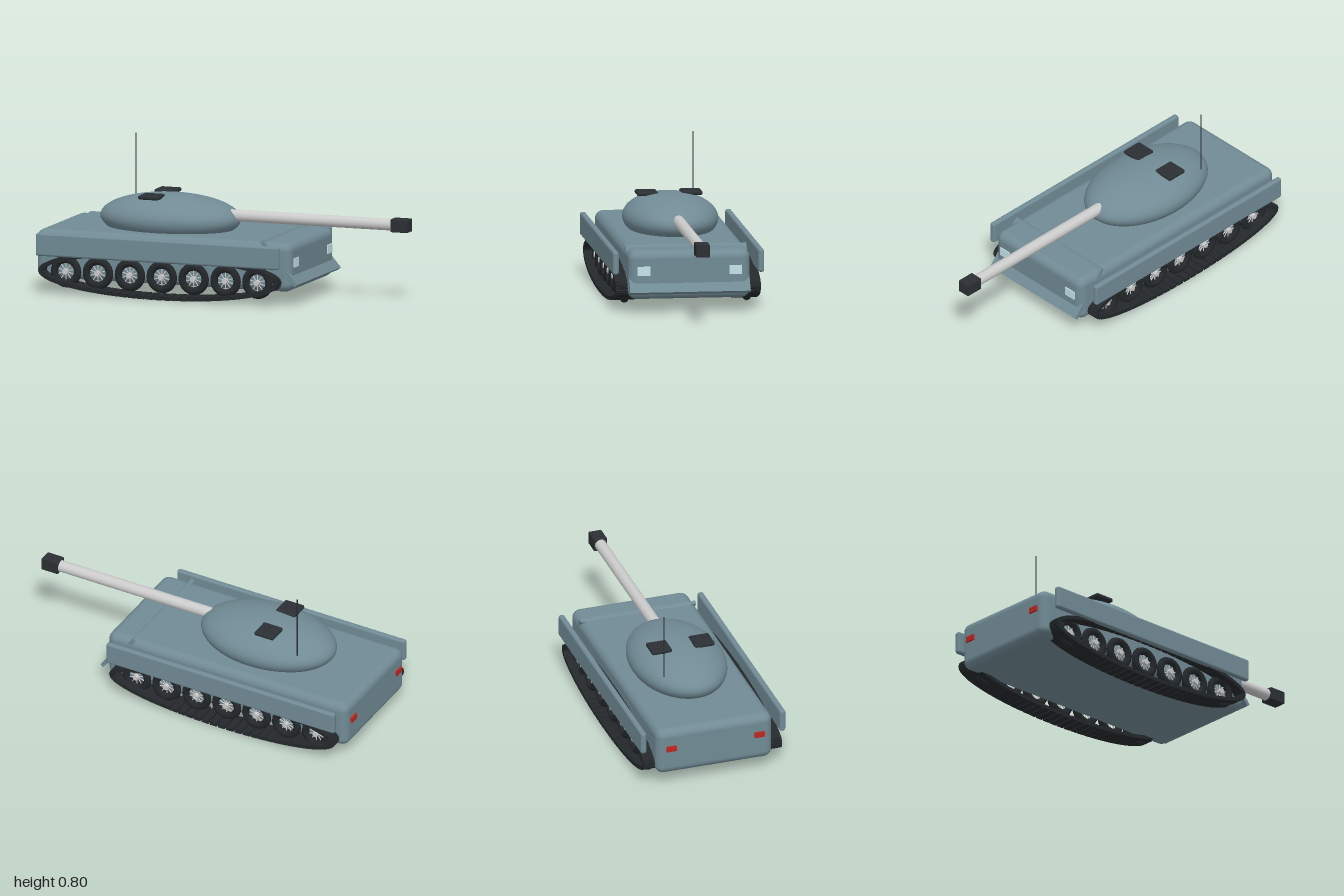
import * as THREE from 'three';
import { RoundedBoxGeometry } from 'three/addons/geometries/RoundedBoxGeometry.js';

const paint = new THREE.MeshStandardMaterial({ color: 0x718b95 });
const dark = new THREE.MeshStandardMaterial({ color: 0x2b3034 });
const rubber = new THREE.MeshStandardMaterial({ color: 0x24282b });
const grey = new THREE.MeshStandardMaterial({ color: 0xcccccc });
const lamp = new THREE.MeshStandardMaterial({ color: 0xc4e4ea });
const red = new THREE.MeshStandardMaterial({ color: 0xc02620 });

function add(parent, name, geometry, material, x = 0, y = 0, z = 0) {
  const mesh = new THREE.Mesh(geometry, material);
  mesh.name = name;
  mesh.position.set(x, y, z);
  parent.add(mesh);
  return mesh;
}

const rounded = (w, h, d, r) => new RoundedBoxGeometry(w, h, d, 4, r);

// Spoked road wheel with its axle along z
function makeWheel() {
  const wheel = new THREE.Group();
  wheel.name = 'roadWheel';
  add(wheel, 'tyre', new THREE.TorusGeometry(0.065, 0.021, 8, 28), rubber);
  const hub = add(wheel, 'hub', new THREE.CylinderGeometry(0.015, 0.015, 0.04, 14), grey);
  hub.rotation.x = Math.PI / 2;
  const spoke = new THREE.CylinderGeometry(0.003, 0.003, 0.11, 6);
  for (let i = 0; i < 5; i++) {
    add(wheel, 'spoke', spoke, grey).rotation.z = (i * Math.PI) / 5;
  }
  return wheel;
}

// Wheels and an elliptical loop of track links
function makeRunningGear(side) {
  const gear = new THREE.Group();
  gear.name = side > 0 ? 'leftRunningGear' : 'rightRunningGear';
  gear.position.z = side * 0.325;
  for (let i = 0; i < 7; i++) {
    const wheel = makeWheel();
    wheel.position.set(-0.815 + i * 0.18, 0.115, 0);
    gear.add(wheel);
  }
  const link = new THREE.BoxGeometry(0.04, 0.02, 0.12);
  const count = 84, rx = 0.66, ry = 0.112;
  for (let i = 0; i < count; i++) {
    const a = (i / count) * Math.PI * 2;
    const mesh = add(gear, 'trackLink', link, rubber,
      -0.275 + rx * Math.cos(a), 0.122 + ry * Math.sin(a), 0);
    mesh.rotation.z = Math.atan2(ry * Math.cos(a), -rx * Math.sin(a));
  }
  return gear;
}

export function createModel() {
  const tank = new THREE.Group();
  tank.name = 'tank';

  // Hull with a sloping front plate
  add(tank, 'hull', rounded(1.44, 0.26, 0.645, 0.045), paint, -0.27, 0.2, 0);
  add(tank, 'frontPlate', new THREE.BoxGeometry(0.3, 0.02, 0.64), paint, 0.382, 0.222, 0)
    .rotation.z = -0.86;

  // Paired side parts
  for (const side of [1, -1]) {
    add(tank, 'sideSkirt', rounded(1.37, 0.122, 0.032, 0.012), paint, -0.275, 0.261, side * 0.386);
    add(tank, 'headlight', new THREE.BoxGeometry(0.02, 0.048, 0.068), lamp, 0.446, 0.224, side * 0.244);
    add(tank, 'tailLight', new THREE.BoxGeometry(0.02, 0.03, 0.055), red, -0.99, 0.224, side * 0.245);
    add(tank, 'hatch', rounded(0.115, 0.022, 0.112, 0.009), dark, -0.412, 0.505, side * 0.118);
    tank.add(makeRunningGear(side));
  }

  // Turret
  const turret = add(tank, 'turret', new THREE.SphereGeometry(1, 48, 32), paint, -0.35, 0.385, 0);
  turret.scale.set(0.385, 0.128, 0.251);

  // Gun
  const barrel = add(tank, 'gunBarrel', new THREE.CylinderGeometry(0.031, 0.031, 0.95, 24), grey, 0.45, 0.413, 0);
  barrel.rotation.z = Math.PI / 2;
  add(tank, 'muzzleBlock', rounded(0.098, 0.069, 0.072, 0.004), dark, 0.951, 0.413, 0);

  // Radio antenna
  add(tank, 'antenna', new THREE.CylinderGeometry(0.003, 0.003, 0.36, 8), dark, -0.605, 0.615, -0.155);

  return tank;
}
